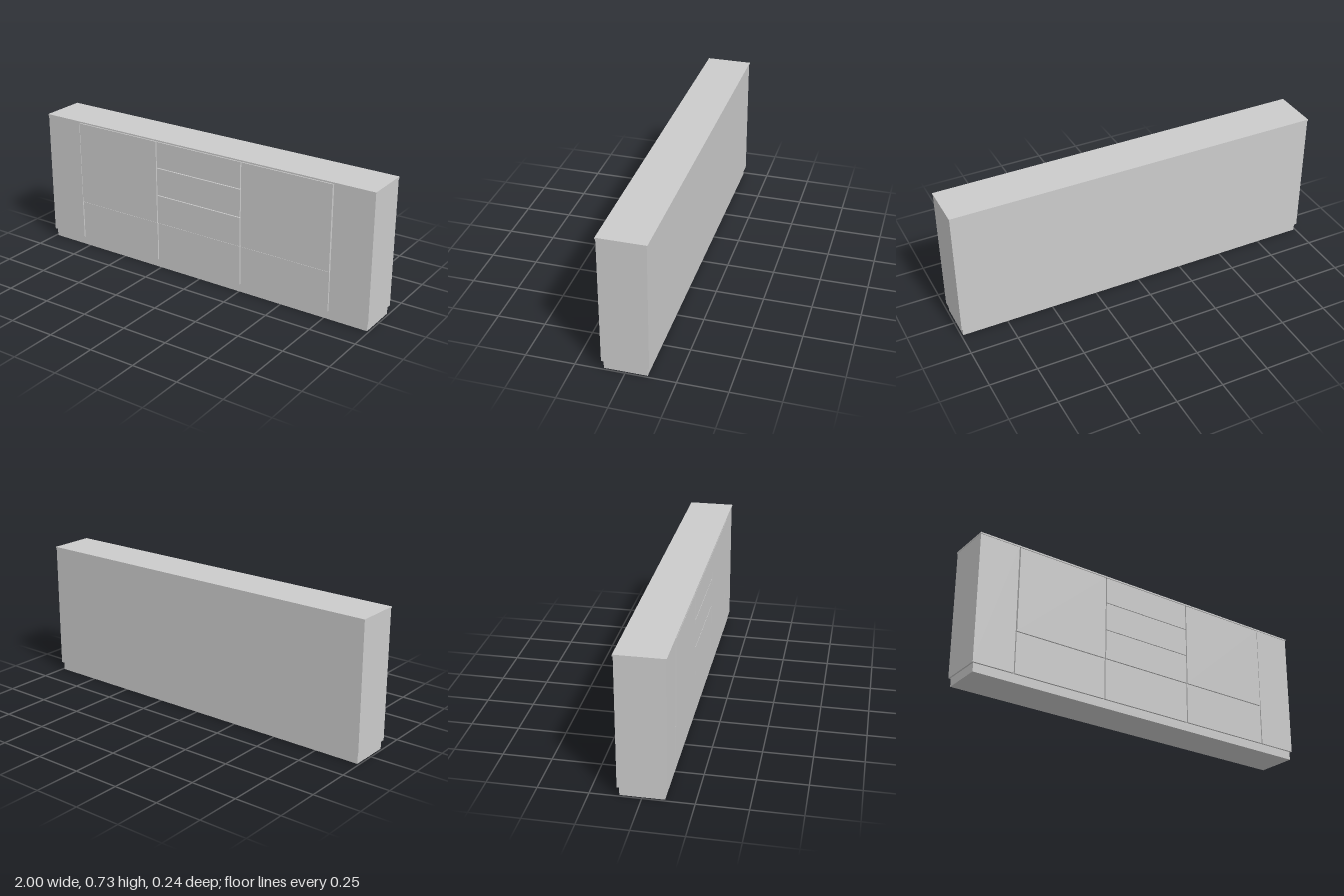
import * as THREE from 'three';

// Long low cabinet: plinth, carcass, lower fronts, raised doors and drawers, thin top
export function createModel() {
  const model = new THREE.Group();
  const material = new THREE.MeshStandardMaterial({ color: 0xcccccc });

  // Box given by its limits on each axis
  const box = (name, x0, x1, y0, y1, z0, z1) => {
    const mesh = new THREE.Mesh(new THREE.BoxGeometry(x1 - x0, y1 - y0, z1 - z0), material);
    mesh.name = name;
    mesh.position.set((x0 + x1) / 2, (y0 + y1) / 2, (z0 + z1) / 2);
    model.add(mesh);
  };

  const gap = 0.003; // half width of the joints
  const faceBack = 0.108, faceFront = 0.118, raisedFront = 0.1215;
  const bottom = 0.045, split = 0.265, top = 0.725;

  box('plinth', -0.99, 0.99, 0, bottom, -0.108, 0.108);
  box('carcass', -0.998, 0.998, bottom, top, -0.118, faceBack);
  box('top', -1, 1, top, 0.733, -0.1215, raisedFront);

  // Full-height end fronts
  box('rightEndFront', -0.998, -0.778 - gap, bottom, top, faceBack, faceFront);
  box('leftEndFront', 0.778 + gap, 0.998, bottom, top, faceBack, faceFront);

  // Three bays: lower panel in each, doors outside, drawers in the middle
  const joints = [-0.778, -0.261, 0.261, 0.778];
  for (let i = 0; i < 3; i++) {
    const x0 = joints[i] + gap, x1 = joints[i + 1] - gap;
    box('lowerPanel', x0, x1, bottom, split - gap, faceBack, faceFront);
    if (i !== 1) {
      box(i ? 'leftDoor' : 'rightDoor', x0, x1, split, top - gap, faceBack, raisedFront);
      continue;
    }
    const rows = [split, 0.424, 0.578, top - gap];
    for (let r = 0; r < 3; r++) {
      box('drawerFront', x0, x1, rows[r] + (r ? 0.002 : 0), rows[r + 1] - (r < 2 ? 0.002 : 0), faceBack, raisedFront);
    }
  }
  return model;
}
